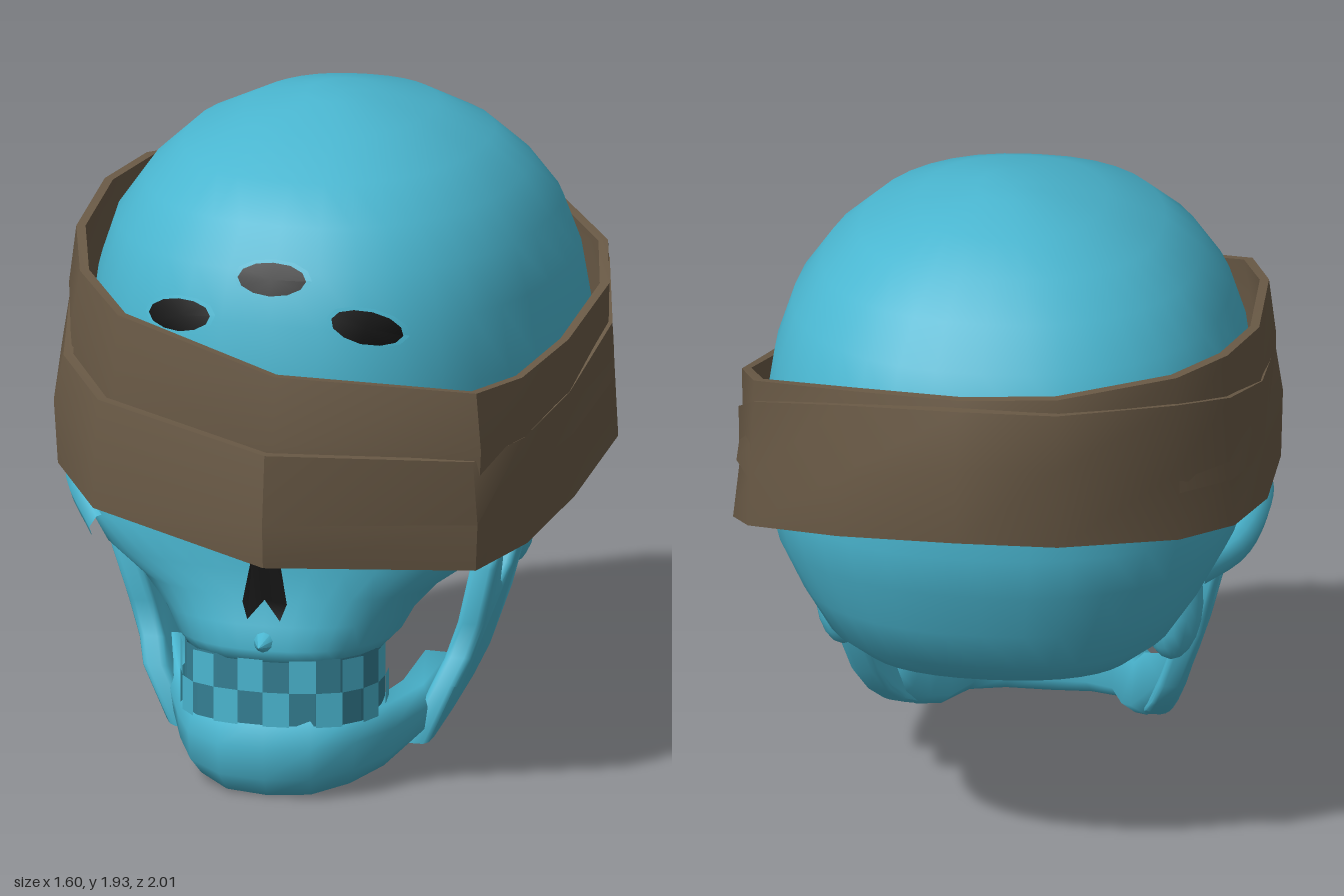
import * as THREE from 'three';
import { toCreasedNormals } from 'three/addons/utils/BufferGeometryUtils.js';

const V = (x, y, z) => new THREE.Vector3(x, y, z);

function material(name, color, side = THREE.FrontSide) {
  const m = new THREE.MeshStandardMaterial({ color, side });
  m.name = name;
  return m;
}

// Joins closed cross-sections; either a loop of sections or capped ends.
function loft(sections, loop = false) {
  const n = sections[0].length, m = sections.length;
  const points = sections.flat(), index = [];
  for (let i = 0; i < (loop ? m : m - 1); i++) {
    for (let j = 0; j < n; j++) {
      const k = (j + 1) % n, d = ((i + 1) % m) * n;
      index.push(i * n + j, i * n + k, d + j, i * n + k, d + k, d + j);
    }
  }
  if (!loop) {
    [0, m - 1].forEach((s) => {
      const c = V(0, 0, 0);
      sections[s].forEach((p) => c.addScaledVector(p, 1 / n));
      const ci = points.push(c) - 1;
      for (let j = 0; j < n; j++) {
        const a = s * n + j, b = s * n + (j + 1) % n;
        if (s === 0) index.push(ci, b, a); else index.push(ci, a, b);
      }
    });
  }
  const g = new THREE.BufferGeometry().setFromPoints(points);
  g.setIndex(index);
  g.computeVertexNormals();
  return g;
}

// Egg-shaped horizontal ring: height, front z, back z, half width, z of widest point.
function ring([y, zf, zb, w, zw], e = 0.88, n = 36) {
  const pts = [];
  for (let j = 0; j < n; j++) {
    const a = (j / n) * Math.PI * 2, c = Math.cos(a), s = Math.sin(a);
    const px = Math.sign(c) * Math.abs(c) ** e, pz = Math.sign(s) * Math.abs(s) ** e;
    pts.push(V(w * px, y, zw + pz * (s > 0 ? zf - zw : zw - zb)));
  }
  return pts;
}

// Cloth wrap: stations of x, z, top y, bottom y, with a slightly uneven middle.
function wrap(stations) {
  const g = loft(stations.map(([x, z, yt, yb], i) => {
    const ym = (yt + yb) / 2 + 0.04 * Math.sin(i * 5), f = 1 + 0.02 * Math.sin(i * 7.3);
    const at = (k, y) => V(x * k, y, z * k);
    return [at(0.95, yt), at(0.985, yt), at(f, ym), at(1.005, yb), at(0.97, yb), at(f - 0.035, ym)];
  }), true);
  return toCreasedNormals(g, 0.75);
}

export function createModel() {
  const model = new THREE.Group();
  model.name = 'blindfoldedSkull';
  const skull = new THREE.Group();
  skull.name = 'skull';
  skull.position.x = -0.02;
  model.add(skull);

  const bone = material('teal bone', 0x4ab6d0);
  const tooth = material('teal tooth', 0x4ab6d0, THREE.DoubleSide);
  tooth.name = 'teal bone thin';
  const gap = material('dark teal gap', 0x347f93, THREE.DoubleSide);
  const black = material('black cavity', 0x0d0d0d, THREE.DoubleSide);
  const cloth = material('brown cloth', 0x6a5a46, THREE.DoubleSide);
  const add = (name, geometry, mat, parent = skull) => {
    const mesh = new THREE.Mesh(geometry, mat);
    mesh.name = name;
    parent.add(mesh);
    return mesh;
  };

  // Braincase
  const cranium = add('cranium', loft([
    [1.943, 0.02, -0.25, 0.1, -0.12], [1.9, 0.24, -0.45, 0.28, -0.12],
    [1.82, 0.46, -0.58, 0.45, -0.12], [1.72, 0.59, -0.69, 0.56, -0.12],
    [1.6, 0.67, -0.79, 0.645, -0.12], [1.45, 0.73, -0.86, 0.695, -0.13],
    [1.25, 0.76, -0.89, 0.725, -0.15], [1.05, 0.75, -0.9, 0.72, -0.18],
    [0.92, 0.66, -0.87, 0.68, -0.22], [0.78, 0.45, -0.82, 0.6, -0.28],
    [0.66, 0.18, -0.77, 0.51, -0.35], [0.58, 0, -0.66, 0.4, -0.38],
    [0.535, -0.15, -0.52, 0.24, -0.36],
  ].map((r) => ring(r))), bone);

  // Cheeks narrowing to the upper jaw
  const face = add('upperFace', loft([
    [1.1, 0.76, 0, 0.6, 0.25], [0.92, 0.75, 0, 0.65, 0.28], [0.79, 0.75, 0.08, 0.64, 0.35],
    [0.7, 0.75, 0.2, 0.57, 0.4], [0.62, 0.76, 0.3, 0.45, 0.43], [0.54, 0.78, 0.35, 0.375, 0.45],
    [0.47, 0.8, 0.38, 0.335, 0.45], [0.43, 0.78, 0.42, 0.295, 0.48],
  ].map((r) => ring(r, 0.85))), bone);

  const spine = add('nasalSpine', new THREE.ConeGeometry(0.06, 0.12, 10), bone);
  spine.position.set(0, 0.49, 0.79);
  spine.rotation.x = Math.PI / 2;

  // Lays a flat patch on the front of the skull
  skull.updateMatrixWorld(true);
  const ray = new THREE.Raycaster();
  const drape = (g, x, y, turn, lift) => {
    g.rotateZ(turn).translate(x, y, 0);
    const p = g.attributes.position;
    for (let i = 0; i < p.count; i++) {
      ray.set(V(p.getX(i) - 0.02, p.getY(i), 3), V(0, 0, -1));
      const hit = ray.intersectObjects([cranium, face])[0];
      p.setZ(i, (hit ? hit.point.z : 0.6) + lift);
    }
    g.computeVertexNormals();
    return g;
  };

  // Three forehead holes with thin rims
  [[-0.285, 1.455, 0.12], [0, 1.585, 0], [0.29, 1.455, -0.28]].forEach(([x, y, turn]) => {
    const oval = (k) => new THREE.CircleGeometry(1, 12).scale(0.105 * k, 0.046 * k, 1);
    add('foreheadHoleRim', drape(oval(1.15), x, y, turn, 0.014), tooth);
    add('foreheadHole', drape(oval(1), x, y, turn, 0.022), black);
  });

  // Nose opening
  const nose = new THREE.Shape([[-0.03, 0.9], [-0.04, 0.76], [-0.068, 0.61], [-0.05, 0.56], [0, 0.62],
    [0.05, 0.56], [0.068, 0.61], [0.04, 0.76], [0.03, 0.9]].map(([x, y]) => new THREE.Vector2(x, y)));
  add('noseOpening', drape(new THREE.ShapeGeometry(nose), 0, 0, 0, 0.014), black);

  // Teeth: a darker arch with alternating plates in two rows
  const arch = new THREE.CatmullRomCurve3([[-0.29, 0.44], [-0.3, 0.6], [-0.23, 0.73], [-0.08, 0.785], [0.08, 0.785],
    [0.23, 0.73], [0.3, 0.6], [0.29, 0.44]].map(([x, z]) => V(x, 0, z))).getSpacedPoints(14);
  const plates = (test, k, y0, y1) => {
    const pts = [];
    for (let i = 0; i < 14; i++) {
      if (!test(i)) continue;
      const at = (p, y) => V(p.x * k, y, 0.4 + (p.z - 0.4) * k);
      const a = at(arch[i], y0), b = at(arch[i + 1], y0), c = at(arch[i + 1], y1), d = at(arch[i], y1);
      pts.push(a, b, c, a, c, d);
    }
    const g = new THREE.BufferGeometry().setFromPoints(pts);
    g.computeVertexNormals();
    return g;
  };
  add('toothArch', plates(() => true, 0.97, 0.235, 0.44), gap);
  add('upperTeeth', plates((i) => i % 2 === 0, 1.01, 0.34, 0.44), tooth);
  add('lowerTeeth', plates((i) => i % 2 === 1, 1.01, 0.235, 0.34), tooth);

  // Lower jaw body: half stations of x, z, bottom, top, mirrored
  const half = [[0.14, 0.775, 0.015, 0.25], [0.25, 0.69, 0.035, 0.25], [0.325, 0.52, 0.05, 0.25],
    [0.39, 0.36, 0.1, 0.27], [0.44, 0.24, 0.16, 0.34]];
  const jaw = [...half.map(([x, ...r]) => [-x, ...r]).reverse(), [0, 0.79, 0.008, 0.25], ...half];
  add('lowerJaw', loft(jaw.map(([x, z, lo, hi]) => {
    const l = Math.hypot(x, z - 0.2), nx = x / l, nz = (z - 0.2) / l, h = hi - lo;
    return [[-0.09, hi], [-0.015, hi], [0.01, lo + h * 0.65], [0, lo + h * 0.25], [-0.05, lo], [-0.1, lo + h * 0.2]]
      .map(([o, y]) => V(x + nx * o, y, z + nz * o));
  })), bone);

  // Side parts
  const ramus = [[0.36, 0.11], [0.36, 0.27], [0.3, 0.34], [0.285, 0.45], [0.32, 0.63], [0.3, 0.67], [0.26, 0.65],
    [0.21, 0.56], [0.15, 0.53], [0.09, 0.58], [0.04, 0.71], [0, 0.73], [-0.015, 0.68], [0.01, 0.5],
    [0.05, 0.32], [0.12, 0.24], [0.23, 0.17]];
  [-1, 1].forEach((s) => {
    const side = s > 0 ? 'left' : 'right';
    const shape = new THREE.Shape(ramus.map(([z, y]) => new THREE.Vector2(-s * z, y)));
    const g = new THREE.ExtrudeGeometry(shape, {
      depth: 0.04, bevelThickness: 0.02, bevelSize: 0.016, bevelSegments: 2,
    });
    const p = g.attributes.position;
    for (let i = 0; i < p.count; i++) {
      const a = p.getX(i), y = p.getY(i), c = p.getZ(i);
      const outer = 0.345 + 0.36 * y + 0.03 * Math.sin(Math.min(y / 0.7, 1) * Math.PI);
      p.setXYZ(i, s * (outer - 0.05 + c), y, -s * a);
    }
    add(side + 'JawBranch', toCreasedNormals(g, 1.1), bone);

    const path = new THREE.CatmullRomCurve3([V(s * 0.54, 0.75, 0.56), V(s * 0.65, 0.84, 0.4),
      V(s * 0.685, 0.85, 0.15), V(s * 0.65, 0.82, -0.1), V(s * 0.56, 0.8, -0.25)]);
    add(side + 'CheekArch', new THREE.TubeGeometry(path, 16, 0.055, 8), bone);

    const mastoid = add(side + 'Mastoid', new THREE.SphereGeometry(1, 14, 10), bone);
    mastoid.scale.set(0.09, 0.17, 0.11);
    mastoid.position.set(s * 0.49, 0.66, -0.16);
    mastoid.rotation.x = 0.35;
  });

  // Skull base behind the palate
  const base = add('skullBase', new THREE.SphereGeometry(1, 18, 12), bone);
  base.scale.set(0.3, 0.16, 0.4);
  base.position.set(0, 0.72, 0.1);

  // Two cloth wraps across the eyes
  add('lowerBlindfold', wrap([
    [-0.53, 0.82, 1.21, 0.88], [0.03, 0.98, 1.12, 0.78], [0.6, 0.68, 1.06, 0.73], [0.69, 0.42, 1.07, 0.75],
    [0.75, 0.1, 1.13, 0.81], [0.79, -0.25, 1.25, 0.9], [0.71, -0.52, 1.37, 0.98], [0.4, -0.85, 1.5, 1.09],
    [0.03, -0.99, 1.55, 1.14], [-0.27, -0.96, 1.54, 1.13], [-0.6, -0.72, 1.5, 1.08], [-0.74, -0.53, 1.46, 1.06],
    [-0.8, -0.25, 1.41, 1.04], [-0.78, 0.2, 1.35, 1], [-0.7, 0.58, 1.27, 0.94],
  ]), cloth, model);
  add('upperBlindfold', wrap([
    [-0.5, 0.7, 1.44, 1.1], [0.03, 0.86, 1.33, 1], [0.6, 0.64, 1.26, 0.96], [0.68, 0.4, 1.25, 0.96],
    [0.745, 0.1, 1.29, 1], [0.78, -0.25, 1.37, 1.08], [0.71, -0.5, 1.43, 1.12], [0.39, -0.83, 1.54, 1.2],
    [0.02, -0.95, 1.57, 1.22], [-0.27, -0.93, 1.58, 1.22], [-0.6, -0.7, 1.58, 1.22], [-0.73, -0.52, 1.59, 1.2],
    [-0.79, -0.25, 1.58, 1.18], [-0.76, 0.2, 1.56, 1.15], [-0.67, 0.5, 1.51, 1.12],
  ]), cloth, model);

  return model;
}
